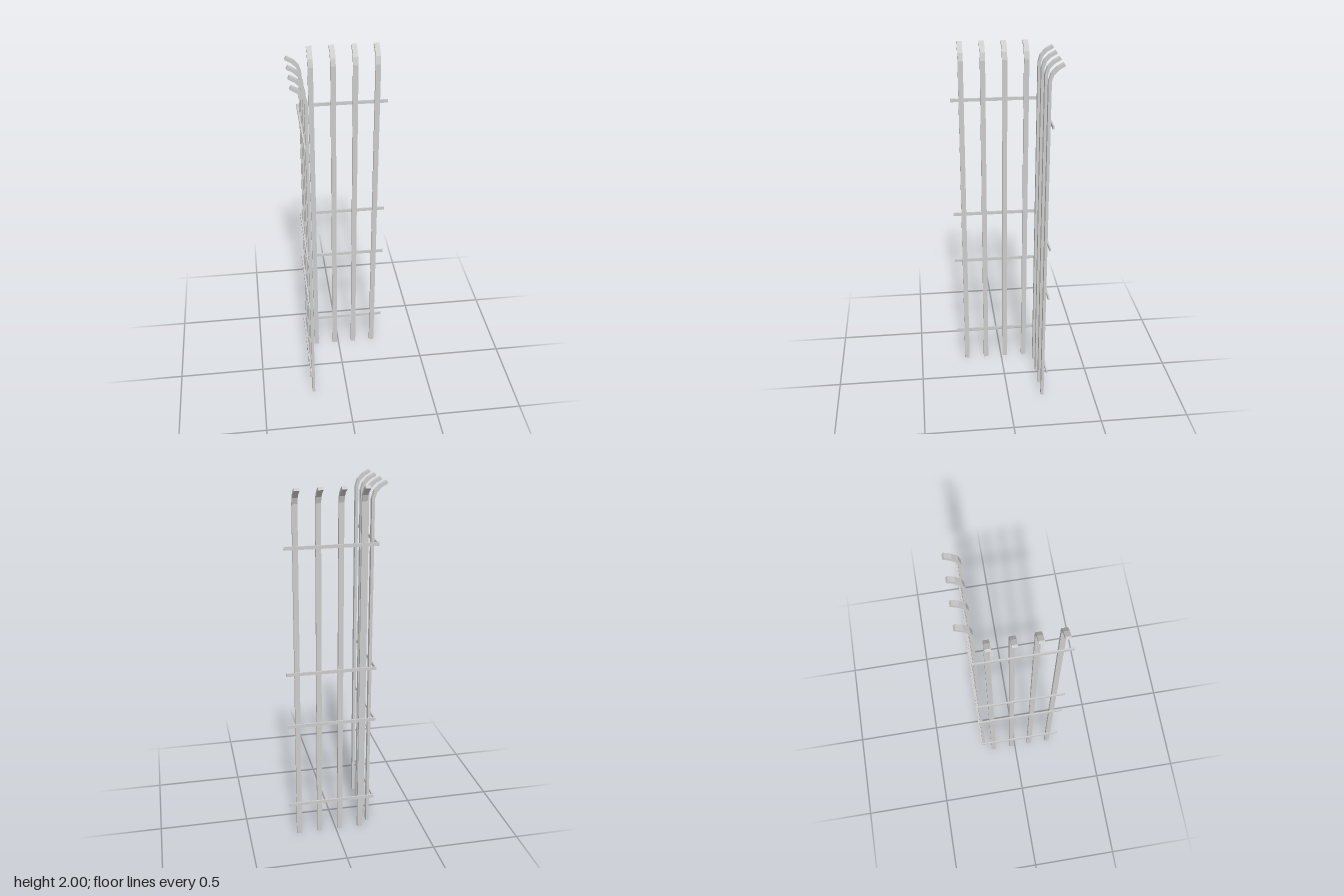
import * as THREE from 'three';

const material = new THREE.MeshStandardMaterial({ color: 0xcccccc, flatShading: true });

// Extrude a flat outline, centred on its depth
function extrude(points, depth) {
  const shape = new THREE.Shape(points.map(([x, y]) => new THREE.Vector2(x, y)));
  const geometry = new THREE.ExtrudeGeometry(shape, { depth, bevelEnabled: false });
  return geometry.translate(0, 0, -depth / 2);
}

export function createModel() {
  const group = new THREE.Group();
  group.name = 'cornerGuard';

  // Flat upright bar whose top bends outward in three facets
  const barGeometry = extrude([
    [-0.209, 0], [-0.193, 0],
    [-0.193, 1.91], [-0.205, 1.951], [-0.234, 1.981], [-0.268, 2],
    [-0.277, 1.986], [-0.245, 1.968], [-0.220, 1.943], [-0.209, 1.91],
  ], 0.028);

  // Four bars on each of the two walls
  for (let i = 0; i < 4; i++) {
    const offset = -0.142 + i * 0.119;

    const sideBar = new THREE.Mesh(barGeometry, material);
    sideBar.name = `sideBar${i + 1}`;
    sideBar.position.z = offset;
    group.add(sideBar);

    const backBar = new THREE.Mesh(barGeometry, material);
    backBar.name = `backBar${i + 1}`;
    backBar.rotation.y = -Math.PI / 2;
    backBar.position.x = offset;
    group.add(backBar);
  }

  // L-shaped rails running behind the bars and around the corner
  const outer = 0.2195, inner = 0.2115, end = 0.275;
  const railGeometry = extrude([
    [-outer, -end], [-inner, -end], [-inner, inner],
    [end, inner], [end, outer], [-outer, outer],
  ], 0.018).rotateX(-Math.PI / 2);

  [0.2, 0.695, 1.002, 1.69].forEach((y, i) => {
    const rail = new THREE.Mesh(railGeometry, material);
    rail.name = `rail${i + 1}`;
    rail.position.y = y;
    group.add(rail);
  });

  return group;
}
